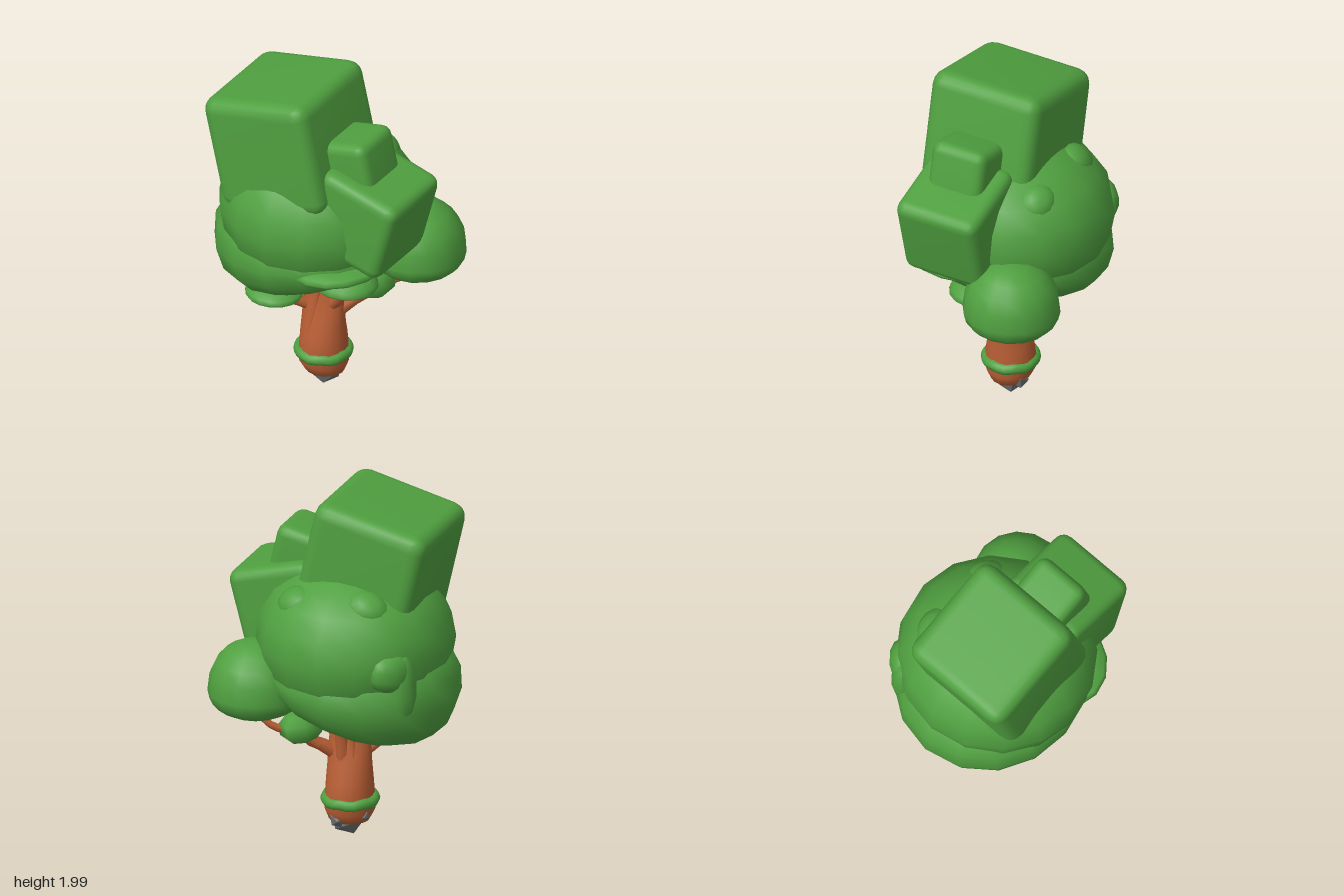
import * as THREE from 'three';
import { mergeVertices } from 'three/addons/utils/BufferGeometryUtils.js';
import { RoundedBoxGeometry } from 'three/addons/geometries/RoundedBoxGeometry.js';

const leaf = new THREE.MeshStandardMaterial({ name: 'leaf green', color: 0x50a040 });
const bark = new THREE.MeshStandardMaterial({ name: 'bark brown', color: 0xb85e34 });
const stone = new THREE.MeshStandardMaterial({ name: 'stone grey', color: 0x6a6f72 });

// Weld seams so the shading stays smooth all round
function smooth(geo) {
  geo.deleteAttribute('uv');
  geo.deleteAttribute('normal');
  const welded = mergeVertices(geo, 1e-4);
  welded.computeVertexNormals();
  return welded;
}

// Rounded foliage: power < 1 squares off the profile, bottom flattens the
// underside, taper makes the -x end taller than the +x end
function blobGeometry([rx, ry, rz], { power = 1, bottom = 1, taper = 0, sides = 16, rings = 10 } = {}) {
  const geo = new THREE.SphereGeometry(1, sides, rings);
  const p = geo.attributes.position;
  for (let i = 0; i < p.count; i++) {
    const x = p.getX(i), y = p.getY(i), z = p.getZ(i);
    const h = Math.hypot(x, z);
    const k = h > 1e-4 ? Math.pow(h, power) / h : 0;
    const up = Math.sign(y) * Math.pow(Math.abs(y), power) * (y < 0 ? bottom : 1);
    p.setXYZ(i, x * k * rx, up * ry * (1 - taper * x * k), z * k * rz);
  }
  return smooth(geo);
}

// Branch that tapers from r0 to r1 along a curve
function branchGeometry(points, r0, r1) {
  const curve = new THREE.CatmullRomCurve3(points.map(a => new THREE.Vector3(...a)));
  const steps = 10, sides = 8;
  const geo = new THREE.TubeGeometry(curve, steps, r0, sides);
  const p = geo.attributes.position, v = new THREE.Vector3();
  for (let i = 0; i < p.count; i++) {
    const t = Math.floor(i / (sides + 1)) / steps;
    const c = curve.getPointAt(t);
    v.fromBufferAttribute(p, i).sub(c).multiplyScalar(1 + (r1 / r0 - 1) * t).add(c);
    p.setXYZ(i, v.x, v.y, v.z);
  }
  return smooth(geo);
}

// Trunk rows from bottom to top: y, centre x, half width x, half width z
function trunkGeometry() {
  const rows = [
    [0.06, -0.035, 0.06, 0.06], [0.085, -0.04, 0.115, 0.105], [0.14, -0.045, 0.14, 0.135],
    [0.22, -0.045, 0.137, 0.145], [0.32, -0.045, 0.132, 0.128], [0.42, -0.045, 0.127, 0.1],
    [0.52, -0.045, 0.125, 0.078], [0.62, -0.045, 0.115, 0.062], [0.78, -0.04, 0.1, 0.055],
  ];
  const sides = 16, n = rows.length;
  const geo = new THREE.CylinderGeometry(1, 1, 1, sides, n - 1, true);
  const p = geo.attributes.position;
  for (let i = 0; i < p.count; i++) {
    const [y, cx, rx, rz] = rows[n - 1 - Math.floor(i / (sides + 1))];
    p.setXYZ(i, cx + p.getX(i) * rx, y, p.getZ(i) * rz);
  }
  return smooth(geo);
}

// Mossy band with a gently wavy edge
function bandGeometry() {
  const geo = new THREE.TorusGeometry(0.133, 0.033, 8, 24);
  geo.rotateX(Math.PI / 2);
  const p = geo.attributes.position;
  for (let i = 0; i < p.count; i++) {
    const a = Math.atan2(p.getZ(i), p.getX(i));
    p.setY(i, p.getY(i) + 0.004 * Math.sin(a * 7));
  }
  return smooth(geo);
}

export function createModel() {
  const tree = new THREE.Group();
  tree.name = 'tree';
  const add = (name, geo, mat, pos = [0, 0, 0], rot = [0, 0, 0]) => {
    const mesh = new THREE.Mesh(geo, mat);
    mesh.name = name;
    mesh.position.set(...pos);
    mesh.rotation.set(...rot);
    tree.add(mesh);
  };

  // Block-shaped crown pieces: size, position, tilt, edge radius
  const blocks = [
    ['largeCrownBlock', 0.68, [-0.18, 1.61, 0.107], 0.225, 0.085],
    ['sideCrownBlock', 0.505, [0.337, 1.3, 0.107], -0.26, 0.065],
    ['smallCrownBlock', 0.335, [0.242, 1.58, 0.105], 0.225, 0.06],
  ];
  for (const [name, s, pos, tilt, r] of blocks) {
    add(name, smooth(new RoundedBoxGeometry(s, s, s, 2, r)), leaf, pos, [0, 0, tilt]);
  }

  // Main rounded canopy
  add('upperCanopy', blobGeometry([0.55, 0.44, 0.56], { power: 0.95 }), leaf, [-0.08, 1.17, 0]);
  add('lowerCanopy', blobGeometry([0.57, 0.285, 0.535], { power: 0.88, taper: 0.35 }), leaf, [-0.105, 0.95, 0], [0, 0, 0.15]);
  add('canopyLedge', blobGeometry([0.29, 0.065, 0.35]), leaf, [0.165, 0.96, 0.165], [0, 0, 0.03]);
  add('sideCanopy', blobGeometry([0.268, 0.29, 0.272], { power: 0.9, bottom: 0.5 }), leaf, [0.403, 0.87, -0.26]);

  // Leaf clumps pressed onto the canopy
  const clump = { power: 0.9, sides: 12, rings: 7 };
  add('topClump', blobGeometry([0.12, 0.07, 0.1], clump), leaf, [-0.27, 1.47, -0.285], [-0.55, 0, 0.35]);
  add('topClump', blobGeometry([0.11, 0.07, 0.1], clump), leaf, [0.16, 1.44, -0.285], [-0.55, 0, -0.45]);
  add('hangingClump', blobGeometry([0.085, 0.2, 0.07], clump), leaf, [-0.49, 1.04, -0.315], [0, 0.9, 0]);
  add('hangingClumpTop', blobGeometry([0.13, 0.11, 0.08], clump), leaf, [-0.44, 1.14, -0.36], [0, 0.85, 0]);

  // Small leaf pads on the branches
  add('frontLeafPad', blobGeometry([0.165, 0.065, 0.155], { bottom: 0.65 }), leaf, [-0.24, 0.612, 0.2]);
  add('sideLeafPad', blobGeometry([0.185, 0.09, 0.17], { bottom: 0.4 }), leaf, [0.15, 0.735, 0.08]);
  add('backLeafClump', blobGeometry([0.125, 0.088, 0.15], { power: 0.85, sides: 7, rings: 5 }), leaf, [0.18, 0.65, -0.15], [0, 0, -0.15]);

  // Trunk and mossy band
  add('trunk', trunkGeometry(), bark);
  add('mossBand', bandGeometry(), leaf, [-0.047, 0.205, 0]);

  // Branches, forks and raised bark ridges: points, start and end radius
  const limbs = [
    ['frontBranch', [[-0.12, 0.48, 0.03], [-0.18, 0.525, 0.1], [-0.22, 0.53, 0.16], [-0.225, 0.6, 0.19]], 0.035, 0.018],
    ['rightBranch', [[0.03, 0.47, -0.02], [0.1, 0.53, -0.08], [0.155, 0.57, -0.13], [0.16, 0.66, -0.15]], 0.045, 0.02],
    ['longBranch', [[0.1, 0.54, -0.1], [0.2, 0.62, -0.17], [0.31, 0.66, -0.24], [0.41, 0.76, -0.28]], 0.034, 0.014],
    ['padBranch', [[0.02, 0.52, 0.02], [0.08, 0.6, 0.04], [0.09, 0.68, 0.06], [0.12, 0.75, 0.08]], 0.04, 0.018],
    ['leftFork', [[-0.11, 0.48, 0], [-0.125, 0.62, 0], [-0.14, 0.76, 0.01]], 0.045, 0.03],
    ['backFork', [[-0.03, 0.46, -0.05], [-0.02, 0.6, -0.07], [0, 0.76, -0.11]], 0.045, 0.025],
    ['frontRidge', [[-0.1, 0.27, 0.115], [-0.07, 0.42, 0.085], [-0.05, 0.56, 0.06], [-0.02, 0.76, 0.05]], 0.014, 0.02],
    ['backRidge', [[-0.08, 0.3, -0.11], [-0.09, 0.5, -0.063], [-0.07, 0.74, -0.055]], 0.012, 0.02],
  ];
  for (const [name, pts, r0, r1] of limbs) add(name, branchGeometry(pts, r0, r1), bark);

  // Faceted stones sunk into the foot of the trunk
  const stones = [
    ['baseStone', 0.1, [-0.035, 0.092, -0.005], [0.3, 0.2, 0.1]],
    ['backStone', 0.06, [-0.01, 0.105, -0.068], [0.5, 0.3, 0]],
    ['sideStone', 0.035, [-0.15, 0.135, -0.045], [0.2, 0.7, 0.4]],
  ];
  for (const [name, r, pos, rot] of stones) add(name, new THREE.IcosahedronGeometry(r, 0), stone, pos, rot);

  return tree;
}
